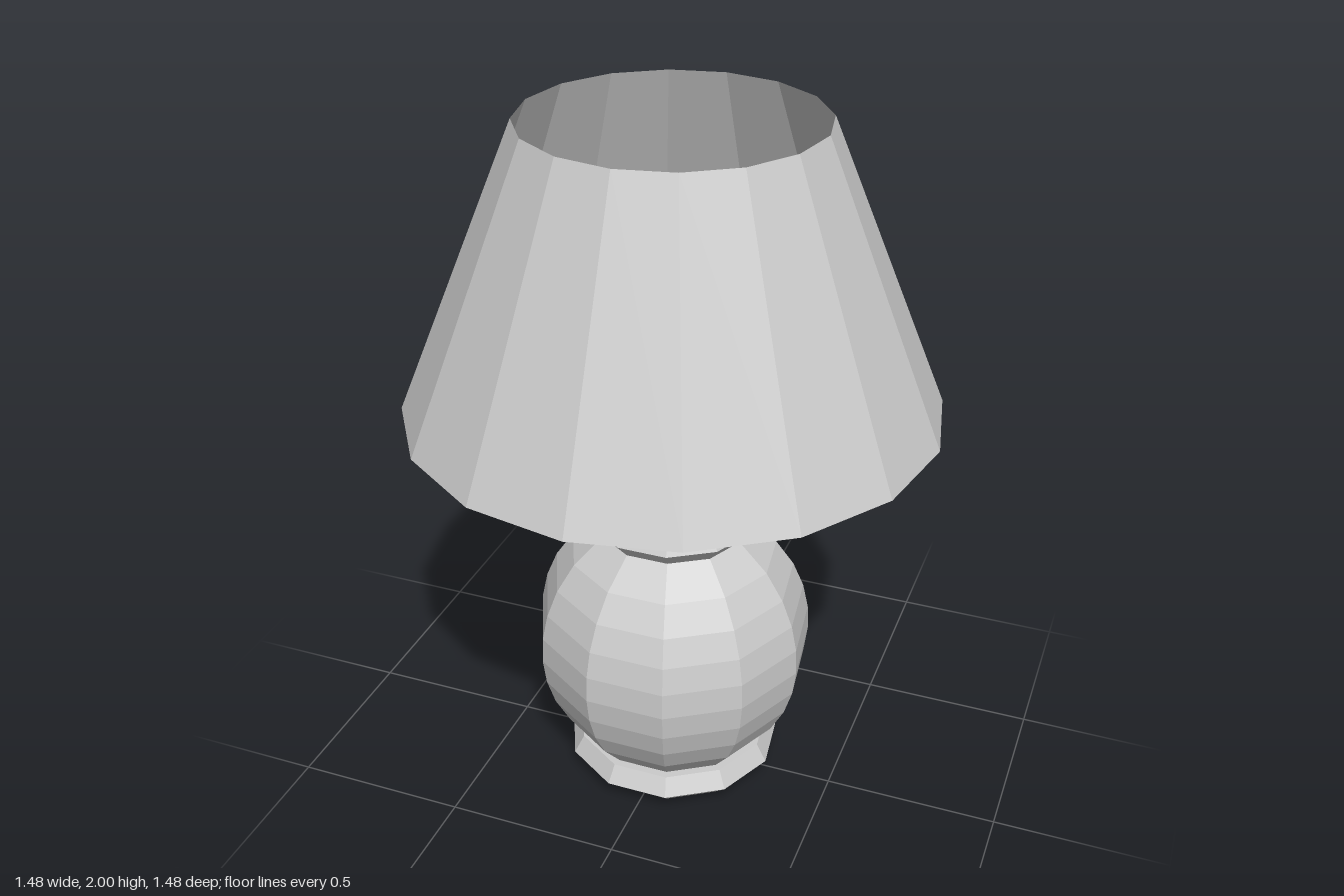
import * as THREE from 'three';

const material = new THREE.MeshStandardMaterial({ color: 0xcccccc, flatShading: true });
const shadeMaterial = material.clone();
shadeMaterial.side = THREE.DoubleSide;

// Faceted turned part: profile of [radius, y] from bottom to top, one corner facing the back
function turned(name, profile, sides, mat = material) {
  const points = profile.map(([r, y]) => new THREE.Vector2(r, y));
  const mesh = new THREE.Mesh(new THREE.LatheGeometry(points, sides, Math.PI), mat);
  mesh.name = name;
  return mesh;
}

export function createModel() {
  const lamp = new THREE.Group();
  lamp.name = 'tableLamp';

  // Foot ring
  lamp.add(turned('foot', [[0, 0], [0.255, 0], [0.317, 0.058], [0.287, 0.11], [0, 0.11]], 11));

  // Round body in nine even bands
  const bottom = 0.11, top = 0.81, bands = 9;
  const belly = [];
  for (let i = 0; i <= bands; i++) {
    const y = bottom + (top - bottom) * i / bands;
    belly.push([Math.sqrt(0.404 ** 2 - (0.93 * (y - 0.44)) ** 2), y]);
  }
  lamp.add(turned('body', belly, 11));

  // Collar with flat top
  lamp.add(turned('collar', [[0, 0.81], [0.213, 0.81], [0.252, 0.855], [0.23, 0.896], [0, 0.896]], 11));

  // Tapered stem
  lamp.add(turned('stem', [[0.054, 0.896], [0.02, 1.5], [0, 1.5]], 7));

  // Open, thin lampshade
  lamp.add(turned('shade', [[0.74, 1.193], [0.405, 2]], 16, shadeMaterial));

  return lamp;
}
